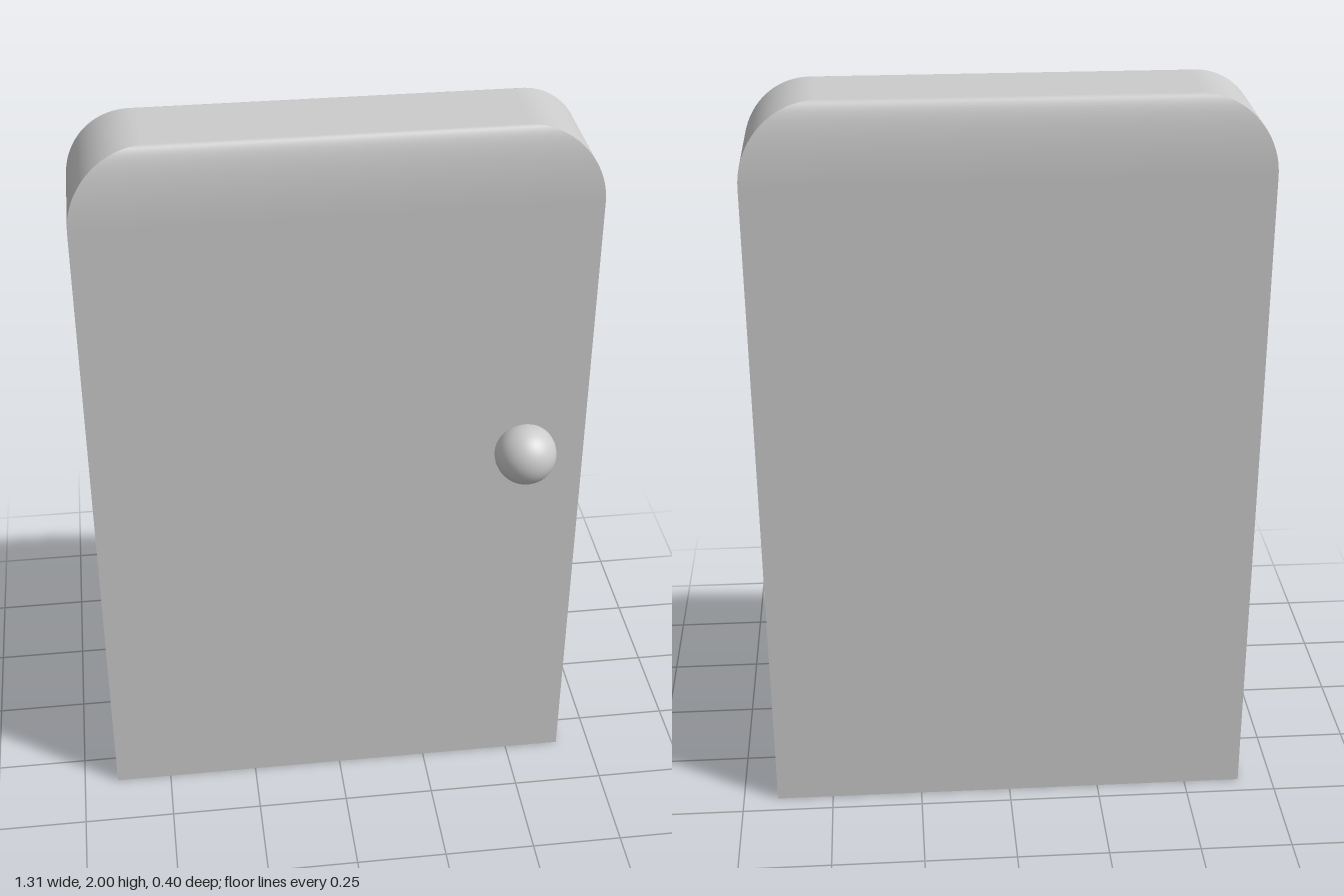
import * as THREE from 'three';

const HALF_W = 0.655, HALF_D = 0.146, CENTRE_Z = -0.052;
const HEIGHT = 2, ROUND_H = 0.2, ROUND_W = 0.185, STEPS = 24;

// Rectangular slab whose cross-section shrinks evenly along a quarter ellipse at the top
function slabGeometry() {
  const rows = [{ y: 0, s: 1 }];
  for (let i = 0; i <= STEPS; i++) {
    const a = (i / STEPS) * Math.PI / 2;
    rows.push({
      y: HEIGHT - ROUND_H + ROUND_H * Math.sin(a),
      s: 1 - (ROUND_W / HALF_W) * (1 - Math.cos(a)),
    });
  }
  // Corners run anticlockwise as seen from outside each wall
  const corners = [[-1, 1], [1, 1], [1, -1], [-1, -1]];
  const point = (c, r) => [c[0] * HALF_W * r.s, r.y, c[1] * HALF_D * r.s];
  const positions = [], index = [];

  // Four walls with their own vertices: smooth upwards, sharp at the corners
  corners.forEach((c, k) => {
    const next = corners[(k + 1) % 4];
    const base = positions.length / 3;
    rows.forEach((r, i) => {
      positions.push(...point(c, r), ...point(next, r));
      if (i === 0) return;
      const a = base + (i - 1) * 2;
      index.push(a, a + 1, a + 3, a, a + 3, a + 2);
    });
  });

  // Flat top and bottom
  for (const [row, order] of [[rows[rows.length - 1], [0, 1, 2, 3]], [rows[0], [3, 2, 1, 0]]]) {
    const base = positions.length / 3;
    order.forEach((k) => positions.push(...point(corners[k], row)));
    index.push(base, base + 1, base + 2, base, base + 2, base + 3);
  }

  const geometry = new THREE.BufferGeometry();
  geometry.setAttribute('position', new THREE.Float32BufferAttribute(positions, 3));
  geometry.setIndex(index);
  geometry.computeVertexNormals();
  return geometry;
}

export function createModel() {
  const model = new THREE.Group();
  model.name = 'door';
  const material = new THREE.MeshStandardMaterial({ color: 0xcccccc });

  // Door slab
  const slab = new THREE.Mesh(slabGeometry(), material);
  slab.name = 'doorSlab';
  slab.position.z = CENTRE_Z;
  model.add(slab);

  // Round knob, partly sunk into the front face
  const knob = new THREE.Mesh(new THREE.SphereGeometry(0.082, 32, 24), material);
  knob.name = 'doorKnob';
  knob.position.set(0.493, 1.082, 0.117);
  model.add(knob);

  return model;
}
